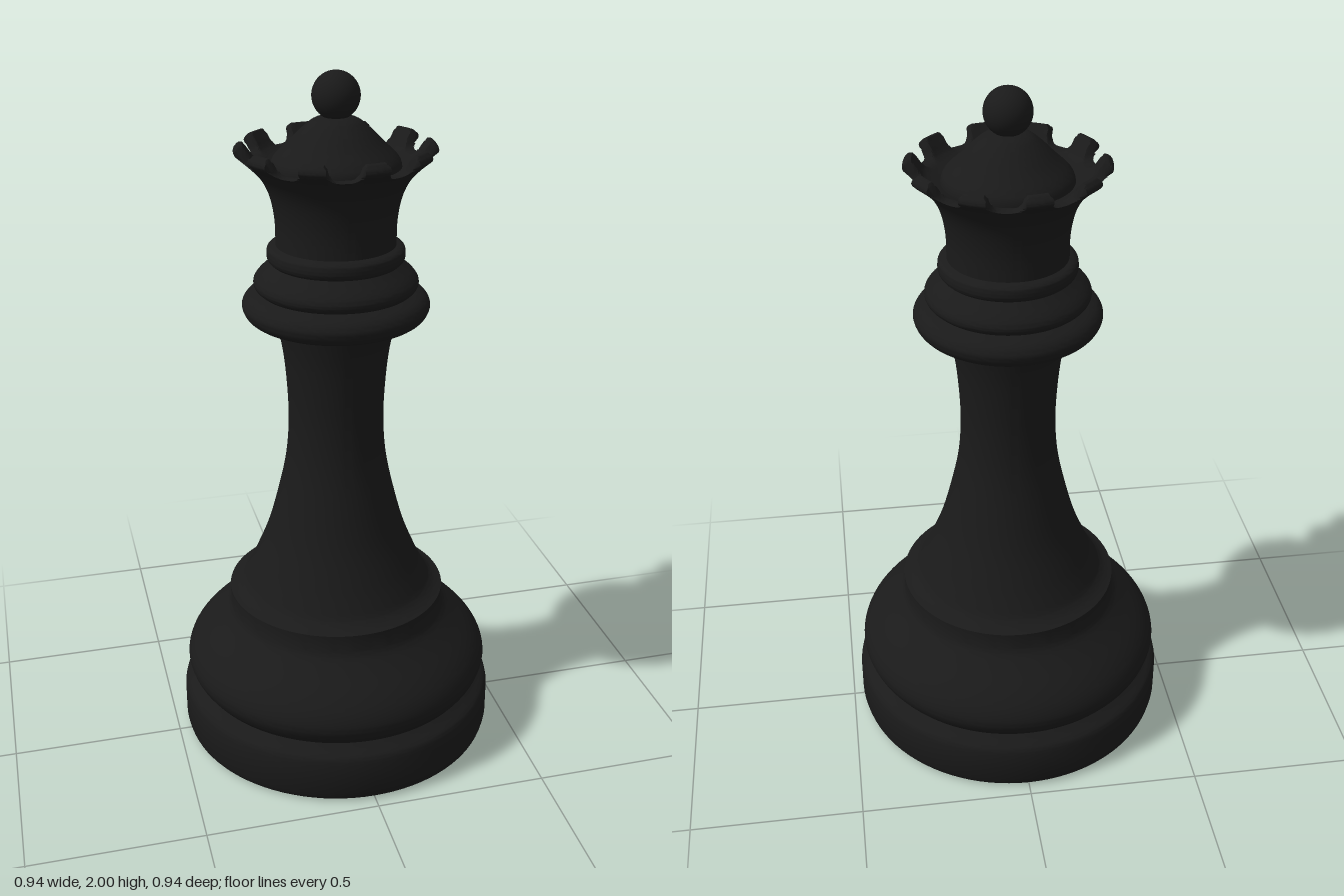
import * as THREE from 'three';
import { toCreasedNormals } from 'three/addons/utils/BufferGeometryUtils.js';

const material = new THREE.MeshStandardMaterial({ color: 0x1a1a1a });
const SEGMENTS = 96;
const TEETH = 10;

// Smooth curve through [radius, height] points
function smooth(points, divisions) {
  return new THREE.SplineCurve(points.map(([r, y]) => new THREE.Vector2(r, y))).getPoints(divisions);
}

// Turned part made of one or more smooth runs, with crisp edges where they meet
function turned(name, runs) {
  const profile = runs.flatMap((run, i) => {
    const pts = run.length > 2 ? smooth(run, run.length * 4) : run.map(([r, y]) => new THREE.Vector2(r, y));
    return i ? pts.slice(1) : pts;
  });
  profile.forEach(p => { p.x = Math.max(p.x, 0); });
  const geometry = toCreasedNormals(new THREE.LatheGeometry(profile, SEGMENTS), 0.6);
  const mesh = new THREE.Mesh(geometry, material);
  mesh.name = name;
  return mesh;
}

// Flared crown whose rim is cut by evenly spaced rounded notches
function crown() {
  const outer = smooth([[0.166, 1.52], [0.167, 1.6], [0.18, 1.67], [0.204, 1.72], [0.236, 1.755], [0.272, 1.785]], 24);
  const rim = smooth([[0.272, 1.785], [0.274, 1.795], [0.262, 1.81], [0.25, 1.812]], 8).slice(1);
  const inner = smooth([[0.25, 1.812], [0.235, 1.79], [0.215, 1.765], [0.17, 1.745]], 14).slice(1);
  const geometry = new THREE.LatheGeometry([...outer, ...rim, ...inner], 240);
  const pos = geometry.attributes.position;
  const step = (Math.PI * 2) / TEETH;
  const firstNotch = THREE.MathUtils.degToRad(9);
  for (let i = 0; i < pos.count; i++) {
    const x = pos.getX(i), y = pos.getY(i), z = pos.getZ(i);
    const r = Math.hypot(x, z);
    const turn = (Math.atan2(-z, x) - firstNotch) / step;
    const offset = Math.abs(turn - Math.round(turn)) * step;
    const t = Math.min(offset / 0.185, 1);
    const limit = 1.762 + 0.05 * (1 - Math.sqrt(1 - t ** 4));
    if (y <= limit) continue;
    const edge = 0.244 + (limit - 1.762) * 0.65;
    const k = Math.min(r, edge) / r;
    pos.setXYZ(i, x * k, limit, z * k);
  }
  const mesh = new THREE.Mesh(toCreasedNormals(geometry, 0.6), material);
  mesh.name = 'crown';
  return mesh;
}

export function createModel() {
  const queen = new THREE.Group();
  queen.name = 'chessQueen';

  // Foot disc with a closed underside
  queen.add(turned('foot', [
    [[0, 0], [0.45, 0]],
    [[0.45, 0], [0.463, 0.01], [0.47, 0.035]],
    [[0.47, 0.035], [0.47, 0.125]],
    [[0.47, 0.125], [0.463, 0.148], [0.44, 0.167], [0.425, 0.18]],
  ]));

  // Bulging base with a stepped shoulder
  queen.add(turned('base', [
    [[0.425, 0.175], [0.446, 0.205], [0.455, 0.24], [0.442, 0.28], [0.41, 0.32], [0.36, 0.365], [0.33, 0.395], [0.32, 0.415]],
    [[0.32, 0.415], [0.32, 0.467]],
    [[0.32, 0.467], [0.3, 0.476], [0.28, 0.492], [0.264, 0.52]],
  ]));

  // Waisted stem
  queen.add(turned('stem', [
    [[0.264, 0.52], [0.24, 0.57], [0.2, 0.67], [0.165, 0.8], [0.145, 0.9], [0.137, 1.0], [0.139, 1.1], [0.15, 1.22], [0.172, 1.33]],
  ]));

  // Stacked collar rings
  queen.add(turned('lowerCollar', [
    [[0.15, 1.31], [0.2, 1.312], [0.245, 1.328], [0.262, 1.36], [0.247, 1.388], [0.21, 1.405]],
  ]));
  queen.add(turned('middleCollar', [
    [[0.21, 1.4], [0.226, 1.415], [0.228, 1.433], [0.215, 1.452], [0.192, 1.472], [0.178, 1.484]],
  ]));
  queen.add(turned('upperCollar', [
    [[0.175, 1.48], [0.188, 1.492], [0.191, 1.508], [0.186, 1.526], [0.16, 1.535]],
  ]));

  queen.add(crown());

  // Domed cap inside the crown
  queen.add(turned('cap', [
    [[0.178, 1.74], [0.17, 1.77], [0.13, 1.81], [0.09, 1.85], [0.055, 1.875], [0, 1.885]],
  ]));

  // Ball finial
  const ball = new THREE.Mesh(new THREE.SphereGeometry(0.065, 48, 32), material);
  ball.name = 'finial';
  ball.position.y = 1.935;
  queen.add(ball);

  return queen;
}
